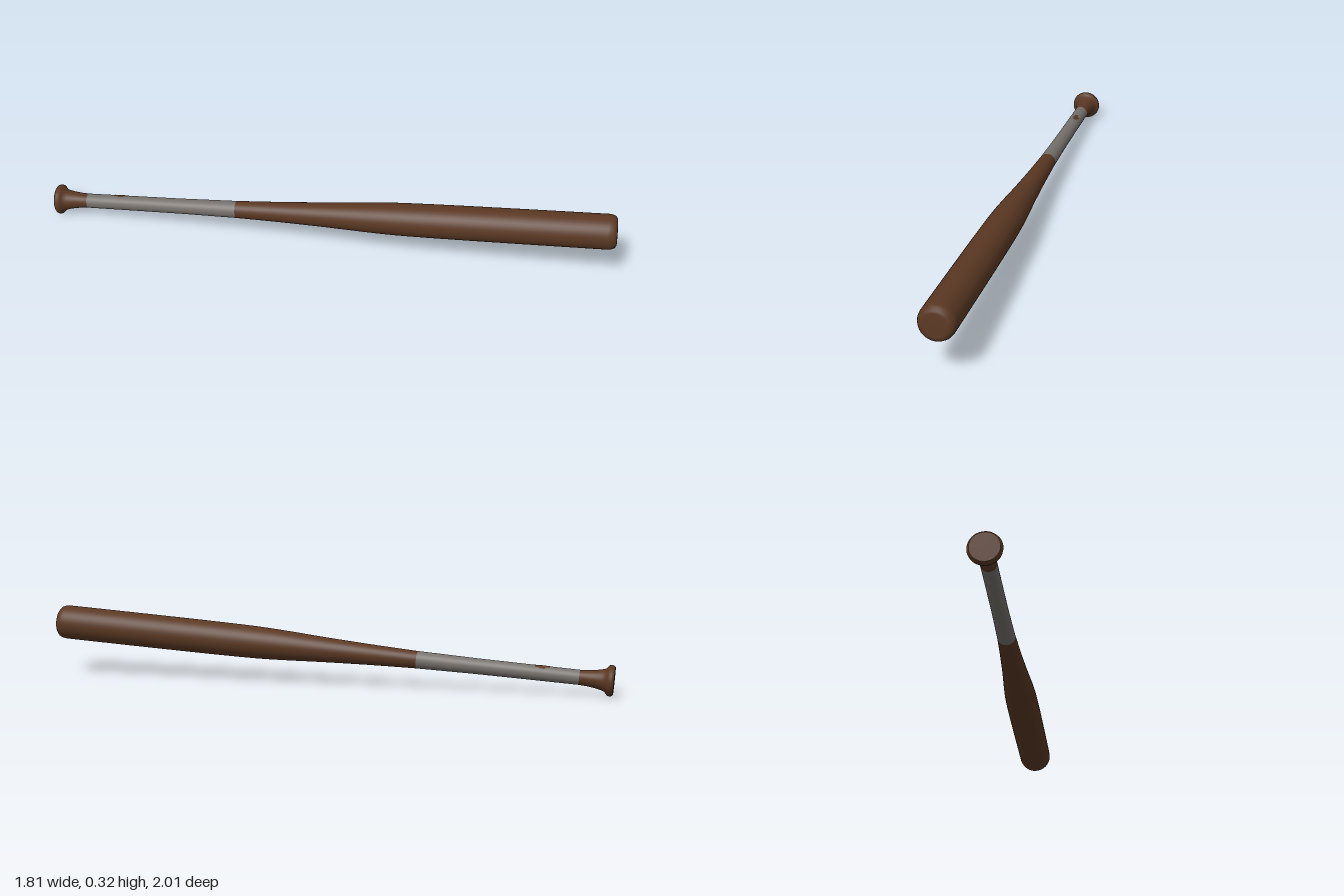
import * as THREE from 'three';

const wood = new THREE.MeshStandardMaterial({ color: 0x5a3823 });
wood.name = 'brown wood';
const tape = new THREE.MeshStandardMaterial({ color: 0x76716c });
tape.name = 'grey grip tape';

// Revolve [radius, distance along the bat] pairs
function turned(name, profile, material, segments = 40, phi = 0, sweep = Math.PI * 2) {
  const points = profile.map(([r, s]) => new THREE.Vector2(r, s));
  const mesh = new THREE.Mesh(new THREE.LatheGeometry(points, segments, phi, sweep), material);
  mesh.name = name;
  return mesh;
}

export function createModel() {
  const group = new THREE.Group();
  group.name = 'baseballBat';

  // Axis from the knob to the barrel tip
  const start = new THREE.Vector3(-0.858, 0.069, -0.963);
  const end = new THREE.Vector3(0.86, 0.244, 0.965);
  const length = start.distanceTo(end);
  const axis = end.clone().sub(start).normalize();
  const side = axis.clone().cross(new THREE.Vector3(0, 1, 0)).normalize();
  const up = side.clone().cross(axis);

  const bat = new THREE.Group();
  bat.name = 'bat';
  bat.quaternion.setFromRotationMatrix(new THREE.Matrix4().makeBasis(side, axis, up));
  bat.position.copy(start);
  group.add(bat);

  // Knob: flat butt, rounded rim, then a flare into the handle
  bat.add(turned('knobButt', [[0, 0], [0.06, 0]], wood));
  bat.add(turned('knob', [
    [0.06, 0], [0.066, 0.005], [0.069, 0.014], [0.067, 0.024], [0.06, 0.031],
    [0.051, 0.038], [0.045, 0.055], [0.039, 0.085], [0.035, 0.115], [0.033, 0.15],
  ], wood));

  // Taped handle
  bat.add(turned('grip', [[0.033, 0.148], [0.034, 0.4], [0.035, 0.6], [0.039, 0.868]], tape));

  // Worn patch in the tape, stepped to look ragged
  [[0.28, 0.3, -0.5, 0.5], [0.3, 0.325, -0.8, 0.95], [0.325, 0.345, -0.6, 0.55]].forEach(([a, b, phi, sweep], i) => {
    bat.add(turned('wornPatch' + i, [[0.035, a], [0.0352, b]], wood, 8, phi, sweep));
  });

  // Barrel with a rounded tip
  const taper = new THREE.SplineCurve([
    [0.039, 0.868], [0.0465, 1.08], [0.0565, 1.29], [0.067, 1.47], [0.0735, 1.62],
    [0.0765, 1.85], [0.078, 2.2], [0.0785, length - 0.04],
  ].map(([r, s]) => new THREE.Vector2(r, s))).getPoints(28).map((p) => [p.x, p.y]);
  bat.add(turned('barrel', [
    ...taper, [0.077, length - 0.025], [0.071, length - 0.011], [0.061, length - 0.003],
    [0.05, length - 0.001], [0, length],
  ], wood));

  return group;
}
